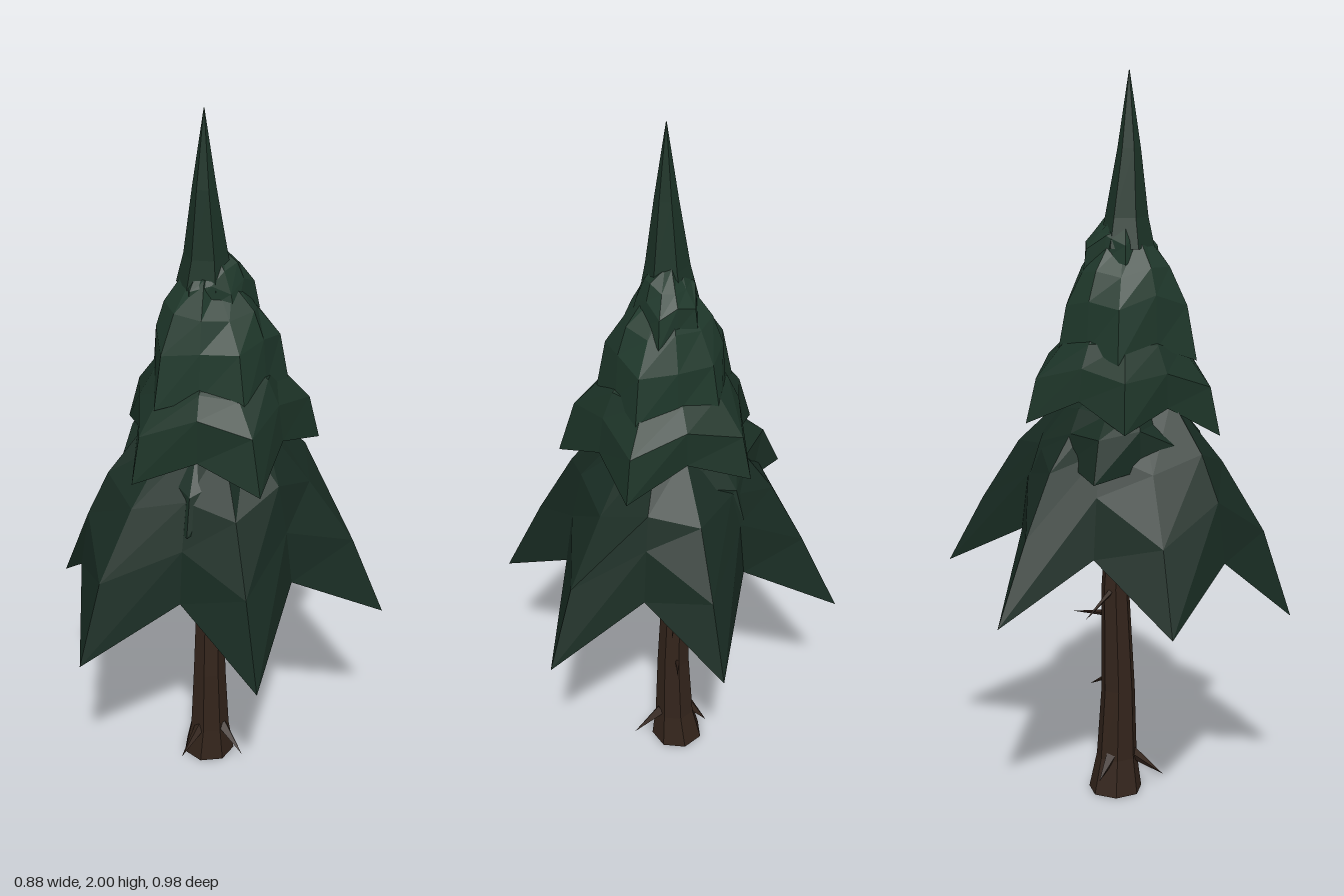
import * as THREE from 'three';

// Small seeded jitter in -1..1
function makeJitter(seed) {
  let s = seed;
  return () => {
    s = (s * 16807) % 2147483647;
    return (s / 2147483647) * 2 - 1;
  };
}

// Skins a list of rings (bottom to top, equal point counts), closing both ends
function loft(rings) {
  const n = rings[0].length;
  const pos = rings.flat().flatMap((p) => [p.x, p.y, p.z]);
  const index = [];
  for (let r = 0; r < rings.length - 1; r++) {
    for (let i = 0; i < n; i++) {
      const j = (i + 1) % n;
      const a = r * n + i, b = r * n + j, c = a + n, d = b + n;
      index.push(a, c, b, b, c, d);
    }
  }
  const last = (rings.length - 1) * n;
  for (let i = 1; i < n - 1; i++) {
    index.push(0, i, i + 1);
    index.push(last, last + i + 1, last + i);
  }
  const geo = new THREE.BufferGeometry();
  geo.setAttribute('position', new THREE.Float32BufferAttribute(pos, 3));
  geo.setIndex(index);
  const flat = geo.toNonIndexed();
  flat.computeVertexNormals();
  return flat;
}

function regularRing(n, x, y, z, r, turn = 0) {
  return Array.from({ length: n }, (_, i) => {
    const a = turn + (i / n) * Math.PI * 2;
    return new THREE.Vector3(x + r * Math.cos(a), y, z + r * Math.sin(a));
  });
}

// Rows of a branch skirt: tip reach, notch reach, height share
const HOLLOW_ROWS = [
  [0.15, 0.2, 0.5],  // inside of the hollow
  [0.72, 0.8, 0.28], // underside
  [1, 1, 0],         // jagged rim
];
// Wide, concave skirt
const SWEEPING = [...HOLLOW_ROWS, [0.81, 0.93, 0.4], [0.58, 0.8, 0.7], [0.3, 0.45, 1]];
// Full-shouldered skirt that pinches in above
const FULL = [...HOLLOW_ROWS, [0.88, 0.96, 0.45], [0.6, 0.78, 0.74], [0.28, 0.42, 1]];

// A star-shaped skirt of drooping branches; tips run from +x towards +z
function skirtGeometry({ rows, tips, top, notches, lift, seed }) {
  const jitter = makeJitter(seed);
  const axis = new THREE.Vector3(0, 0, 0.02);
  const rim = [];
  tips.forEach((t, i) => {
    const a = new THREE.Vector3(...t);
    const b = new THREE.Vector3(...tips[(i + 1) % tips.length]);
    const mid = a.clone().add(b).multiplyScalar(0.5);
    const pull = notches[i % notches.length];
    rim.push(a, new THREE.Vector3(mid.x * pull, mid.y + lift, mid.z * pull));
  });
  const rings = rows.map(([tipReach, notchReach, h], row) =>
    rim.map((p, i) => {
      const reach = i % 2 ? notchReach : tipReach;
      const wobble = row > 2 ? 1 + 0.04 * jitter() : 1;
      const y = p.y + (top - p.y) * h + (row > 2 ? 0.015 * jitter() : 0);
      return new THREE.Vector3(
        axis.x + (p.x - axis.x) * reach * wobble, y,
        axis.z + (p.z - axis.z) * reach * wobble);
    }));
  return loft(rings);
}

const SKIRTS = [
  { name: 'bottomBranches', rows: SWEEPING, top: 1.14, lift: 0.17, seed: 11, color: 0x182b22,
    notches: [0.72, 0.92, 0.74, 0.66, 0.75, 0.72],
    tips: [[0.44, 0.57, 0.21], [0.025, 0.55, 0.485], [-0.36, 0.58, 0.265],
      [-0.445, 0.59, -0.18], [-0.05, 0.64, -0.49], [0.385, 0.59, -0.295]] },
  { name: 'lowerMiddleBranches', rows: FULL, top: 1.18, lift: 0.05, seed: 23, color: 0x192d23,
    notches: [0.88],
    tips: [[0.25, 0.92, -0.02], [0.16, 0.92, 0.22], [-0.14, 0.9, 0.25],
      [-0.32, 0.96, 0.04], [-0.17, 0.92, -0.2], [0.11, 0.92, -0.25]] },
  { name: 'middleBranches', rows: FULL, top: 1.36, lift: 0.07, seed: 37, color: 0x1c3327,
    notches: [0.9],
    tips: [[0.29, 1.05, 0.08], [0.01, 1.04, 0.285], [-0.25, 1.08, 0.1],
      [-0.18, 1.08, -0.2], [0.16, 1.07, -0.24]] },
  { name: 'upperMiddleBranches', rows: FULL, top: 1.56, lift: 0.04, seed: 53, color: 0x1f382b,
    notches: [0.98],
    tips: [[0.19, 1.24, 0.05], [0.02, 1.24, 0.215], [-0.185, 1.25, 0.06],
      [-0.11, 1.23, -0.14], [0.12, 1.25, -0.16]] },
  { name: 'upperBranches', rows: FULL, top: 1.62, lift: 0.03, seed: 71, color: 0x1f382b,
    notches: [0.95],
    tips: [[0.1, 1.47, 0.01], [0.03, 1.48, 0.11], [-0.09, 1.5, 0.05],
      [-0.06, 1.47, -0.08], [0.05, 1.45, -0.115]] },
];

export function createModel() {
  const tree = new THREE.Group();
  tree.name = 'pineTree';
  const material = (color) => new THREE.MeshStandardMaterial({
    color, flatShading: true, roughness: 1, side: THREE.DoubleSide });
  const add = (name, geo, mat) => {
    const mesh = new THREE.Mesh(geo, mat);
    mesh.name = name;
    tree.add(mesh);
    return mesh;
  };
  const bark = material(0x33241b);

  // Trunk: flared foot, slight lean, [x, y, z, radius]
  const trunkRows = [
    [-0.025, 0, 0, 0.076], [-0.018, 0.1, 0.002, 0.058], [-0.015, 0.3, 0.005, 0.048],
    [-0.02, 0.6, -0.002, 0.039], [-0.01, 0.95, 0.01, 0.03]];
  add('trunk', loft(trunkRows.map(([x, y, z, r]) => regularRing(7, x, y, z, r, 0.1))), bark);

  // Dead twigs and root spurs: start, end, thickness
  const spikes = [
    ['rootSpur', [0.025, 0.11, -0.01], [0.11, 0.04, -0.02], 0.018],
    ['rootSpur', [-0.06, 0.11, 0], [-0.11, 0.05, -0.02], 0.018],
    ['rootSpur', [-0.01, 0.11, 0.04], [0.01, 0.045, 0.13], 0.018],
    ['twig', [-0.03, 0.6, 0], [-0.17, 0.54, -0.04], 0.01],
    ['twig', [-0.02, 0.52, -0.02], [0.02, 0.5, -0.14], 0.01],
    ['twig', [-0.02, 0.335, -0.02], [-0.01, 0.3, -0.08], 0.009],
    ['twig', [-0.01, 0.69, 0], [0.14, 0.66, -0.04], 0.009],
  ];
  const up = new THREE.Vector3(0, 1, 0);
  for (const [name, from, to, r] of spikes) {
    const a = new THREE.Vector3(...from), b = new THREE.Vector3(...to);
    const spike = add(name, new THREE.ConeGeometry(r, a.distanceTo(b), 4), bark);
    spike.position.copy(a).add(b).multiplyScalar(0.5);
    spike.quaternion.setFromUnitVectors(up, b.sub(a).normalize());
  }

  // Layered branches
  for (const skirt of SKIRTS) add(skirt.name, skirtGeometry(skirt), material(skirt.color));

  // Spire at the top
  const spireRows = [
    [-0.005, 1.54, 0.025, 0.075], [-0.002, 1.62, 0.024, 0.058],
    [0, 1.8, 0.03, 0.031], [0, 2, 0.03, 0.001]];
  add('spire', loft(spireRows.map(([x, y, z, r]) => regularRing(6, x, y, z, r, 0.3))), material(0x1c3327));

  return tree;
}
